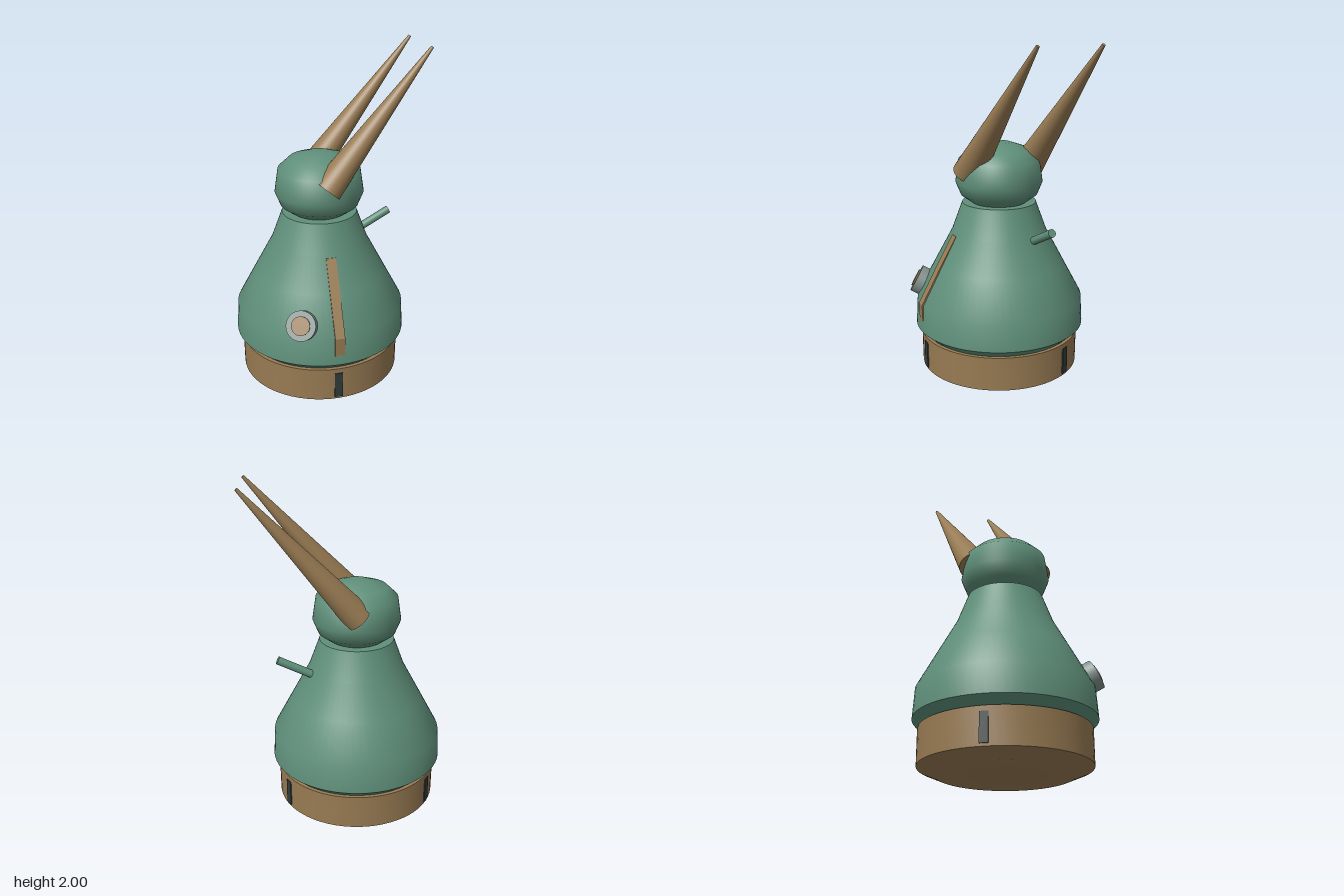
import * as THREE from 'three';
import { toCreasedNormals } from 'three/addons/utils/BufferGeometryUtils.js';

const CX = -0.065, CZ = -0.008; // vertical axis of the turned parts

export function createModel() {
  const model = new THREE.Group();
  model.name = 'hornedFigure';

  const material = (name, color) => {
    const m = new THREE.MeshStandardMaterial({ color });
    m.name = name;
    return m;
  };
  const green = material('green', 0x5f8f7a);
  const tan = material('tan', 0x987b53);
  const grey = material('grey', 0x84938f);
  const dark = material('dark', 0x2f3b3a);

  const add = (name, geometry, mat, parent = model) => {
    const mesh = new THREE.Mesh(geometry, mat);
    mesh.name = name;
    parent.add(mesh);
    return mesh;
  };

  // Turned part from [radius, height] points, bottom to top
  const turned = (name, profile, mat, crease) => {
    const points = profile.map(([r, y]) => new THREE.Vector2(r, y));
    const geometry = toCreasedNormals(new THREE.LatheGeometry(points, 64), crease);
    add(name, geometry, mat).position.set(CX, 0, CZ);
  };

  // Tapered round part between two points, optionally widened along z
  const rod = (name, from, to, r0, r1, mat, widen = 1) => {
    const a = new THREE.Vector3(...from), b = new THREE.Vector3(...to);
    const dir = b.clone().sub(a);
    const geometry = new THREE.CylinderGeometry(r1, r0, dir.length(), 32);
    geometry.scale(1, 1, widen);
    const mesh = add(name, geometry, mat);
    mesh.position.copy(a).add(b).multiplyScalar(0.5);
    mesh.quaternion.setFromUnitVectors(new THREE.Vector3(0, 1, 0), dir.normalize());
  };

  // Base, body and head
  turned('base', [[0, 0], [0.38, 0.003], [0.48, 0.045], [0.482, 0.25], [0, 0.25]], tan, 0.6);
  turned('body', [[0, 0.25], [0.46, 0.25], [0.515, 0.3], [0.505, 0.47], [0.393, 0.68],
    [0.286, 0.88], [0.222, 1.055], [0, 1.055]], green, 0.6);
  turned('head', [[0, 1.05], [0.165, 1.055], [0.23, 1.103], [0.261, 1.18], [0.241, 1.315],
    [0.178, 1.375], [0.07, 1.412], [0, 1.412]], green, 0.8);

  // Horns, both leaning the same way
  for (const [name, z] of [['frontHorn', 0.183], ['backHorn', -0.195]]) {
    rod(name, [-0.065, 1.247, z], [0.568, 1.995, z - 0.12], 0.086, 0.009, tan, 1.15);
  }

  // Side peg
  rod('sidePeg', [0.17, 0.846, -0.104], [0.402, 0.963, -0.124], 0.024, 0.024, green);

  // Strip down the front, following the body
  const outer = [[0.51, 0.32], [0.514, 0.47], [0.4, 0.68], [0.293, 0.87]];
  const strip = new THREE.Shape([
    ...outer.map(([r, y]) => new THREE.Vector2(r, y)),
    ...outer.map(([r, y]) => new THREE.Vector2(r - 0.02, y)).reverse(),
  ]);
  const stripGeometry = new THREE.ExtrudeGeometry(strip, { depth: 0.058, bevelEnabled: false });
  stripGeometry.translate(0, 0, -0.029);
  stripGeometry.rotateY(-Math.PI / 2);
  add('frontStrip', stripGeometry, tan).position.set(CX, 0, CZ);

  // Three slots around the base
  for (let i = 0; i < 3; i++) {
    const pivot = new THREE.Group();
    pivot.name = 'baseSlot';
    pivot.position.set(CX, 0, CZ);
    pivot.rotation.y = (i * Math.PI * 2) / 3;
    add('slotPlate', new THREE.BoxGeometry(0.047, 0.16, 0.009), dark, pivot)
      .position.set(0, 0.14, 0.482);
    model.add(pivot);
  }

  // Round button standing square to the sloping body
  const button = new THREE.Group();
  button.name = 'button';
  button.position.set(-0.26, 0.53, 0.41);
  button.rotation.set(-0.49, -0.44, 0, 'YXZ');
  const disc = (name, r, z0, z1, mat) => {
    const geometry = new THREE.CylinderGeometry(r, r, z1 - z0, 40);
    geometry.rotateX(Math.PI / 2);
    add(name, geometry, mat, button).position.z = (z0 + z1) / 2;
  };
  disc('buttonRing', 0.086, -0.03, 0.058, grey);
  disc('buttonCentre', 0.054, 0.05, 0.067, tan);
  model.add(button);

  return model;
}
